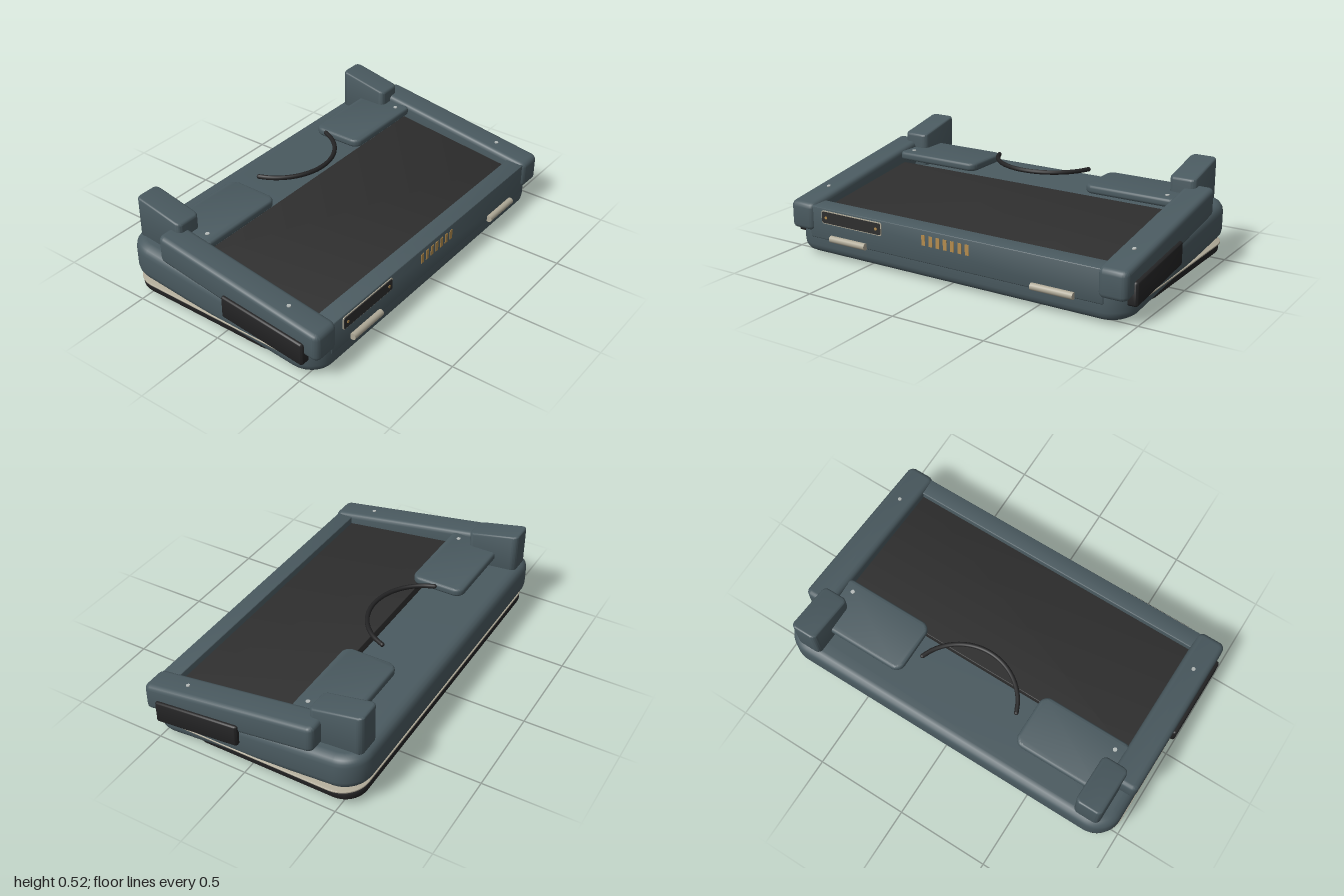
import * as THREE from 'three';
import { toCreasedNormals } from 'three/addons/utils/BufferGeometryUtils.js';

const mat = (name, color) => {
  const m = new THREE.MeshStandardMaterial({ color });
  m.name = name;
  return m;
};

// Rounded plan outline, centred on the origin
function roundedRect(w, d, r) {
  const s = new THREE.Shape(), x = w / 2, y = d / 2;
  s.moveTo(-x + r, -y);
  s.lineTo(x - r, -y);
  s.absarc(x - r, -y + r, r, -Math.PI / 2, 0);
  s.lineTo(x, y - r);
  s.absarc(x - r, y - r, r, 0, Math.PI / 2);
  s.lineTo(-x + r, y);
  s.absarc(-x + r, y - r, r, Math.PI / 2, Math.PI);
  s.lineTo(-x, -y + r);
  s.absarc(-x + r, -y + r, r, Math.PI, Math.PI * 1.5);
  return s;
}

// Bevelled slab between x, z and y limits; slope raises it towards the back.
// The y limits are those at the middle of its depth.
function slab([x0, x1], [y0, y1], [z0, z1], r, bevel, slope = 0) {
  const w = x1 - x0, d = z1 - z0, h = y1 - y0;
  let g = new THREE.ExtrudeGeometry(
    roundedRect(w - 2 * bevel, d - 2 * bevel, Math.max(r - bevel, 0.002)),
    { depth: h - 2 * bevel, bevelSize: bevel, bevelThickness: bevel, bevelSegments: 4, curveSegments: 8 });
  g.rotateX(-Math.PI / 2);
  g.translate(0, bevel, 0);
  const p = g.attributes.position;
  for (let i = 0; i < p.count; i++) p.setY(i, p.getY(i) - slope * p.getZ(i));
  g = toCreasedNormals(g, 0.6);
  g.translate((x0 + x1) / 2, y0, (z0 + z1) / 2);
  return g;
}

export function createModel() {
  const group = new THREE.Group();
  const slate = mat('slate shell', 0x4a5a60);
  const dark = mat('dark panel', 0x2e2e2e);
  const black = mat('black rubber', 0x232324);
  const beige = mat('beige trim', 0xb0aa98);
  const gold = mat('gold contact', 0xb58d4e);
  const steel = mat('pale screw', 0xb4bab8);

  const add = (name, geometry, material, x = 0, y = 0, z = 0) => {
    const m = new THREE.Mesh(geometry, material);
    m.name = name;
    m.position.set(x, y, z);
    group.add(m);
    return m;
  };

  // Wedge-tilted shell, screen and front lip
  add('shell', slab([-0.977, 0.977], [0.064, 0.256], [-0.61, 0.573], 0.14, 0.05, 0.096), slate);
  add('screen', slab([-0.85, 0.85], [0.215, 0.277], [-0.2, 0.485], 0.01, 0.003, 0.125), dark);
  add('frontLip', slab([-0.86, 0.86], [0.1, 0.272], [0.48, 0.576], 0.008, 0.006, 0.06), slate);

  // Flat base plate with the trim line above it
  add('basePlate', slab([-0.965, 0.965], [0.035, 0.092], [-0.585, 0.36], 0.12, 0.02), black);
  add('trimLine', slab([-0.98, 0.98], [0.09, 0.099], [-0.588, 0.56], 0.14, 0.003), beige);

  // Mirrored parts
  for (const s of [-1, 1]) {
    const span = (a, b) => (s > 0 ? [a, b] : [-b, -a]);
    add('sideRail', slab(span(0.83, 0.982), [0.205, 0.35], [-0.37, 0.59], 0.035, 0.025, 0.156), slate);
    add('sideGrip', slab(span(0.94, 1.0), [0.119, 0.239], [0.035, 0.515], 0.015, 0.012, 0.115), black);
    add('rearPost', slab(span(0.757, 0.9), [0.27, 0.49], [-0.582, -0.3], 0.03, 0.012, 0.21), slate);
    add('palmPad', slab(span(0.34, 0.86), [0.34, 0.385], [-0.462, -0.17], 0.05, 0.015), slate);

    // Round bar on the front
    const bar = add('frontBar', new THREE.CylinderGeometry(0.018, 0.018, 0.226, 20), beige, s * 0.602, 0.113, 0.586);
    bar.rotation.z = Math.PI / 2;

    // Screws on the rail and the pad
    const railScrew = add('railScrew', new THREE.CylinderGeometry(0.01, 0.01, 0.008, 12), steel, s * 0.905, 0.311, 0.37);
    railScrew.rotation.x = 0.155;
    add('padScrew', new THREE.CylinderGeometry(0.011, 0.011, 0.008, 12), steel, s * 0.785, 0.385, -0.23);

    // Feet
    for (const z of [0.41, -0.438]) {
      add('foot', new THREE.CylinderGeometry(0.068, 0.062, 0.05, 28), black, s * 0.77, 0.025, z);
    }

    // Fasteners at each end of the front port cover
    const fastener = add('portScrew', new THREE.CylinderGeometry(0.008, 0.008, 0.006, 12), gold,
      -0.583 + s * 0.162, 0.222, 0.583);
    fastener.rotation.x = Math.PI / 2;
  }

  // Port cover with a thin pale frame
  const plate = (w, h, r) => new THREE.ExtrudeGeometry(roundedRect(w, h, r), { depth: 0.006, bevelEnabled: false });
  add('portFrame', plate(0.388, 0.07, 0.012), beige, -0.583, 0.222, 0.574);
  add('portCover', plate(0.378, 0.06, 0.009), dark, -0.583, 0.222, 0.577);

  // Row of contacts
  for (let i = 0; i < 7; i++) {
    add('contact', new THREE.BoxGeometry(0.021, 0.054, 0.008), gold, -0.131 + i * 0.0428, 0.215, 0.575);
  }

  // Curved cable above the screen
  const arc = [];
  for (let i = 0; i <= 12; i++) {
    const a = THREE.MathUtils.lerp(-1.23, 1.23, i / 12);
    arc.push(new THREE.Vector3(0.296 * Math.sin(a), 0.415, -0.436 + 0.296 * Math.cos(a)));
  }
  add('cable', new THREE.TubeGeometry(new THREE.CatmullRomCurve3(arc), 48, 0.012, 10), black);
  for (const e of [arc[0], arc[12]]) {
    add('cableEnd', new THREE.SphereGeometry(0.012, 10, 8), black, e.x, e.y, e.z);
  }
  return group;
}
